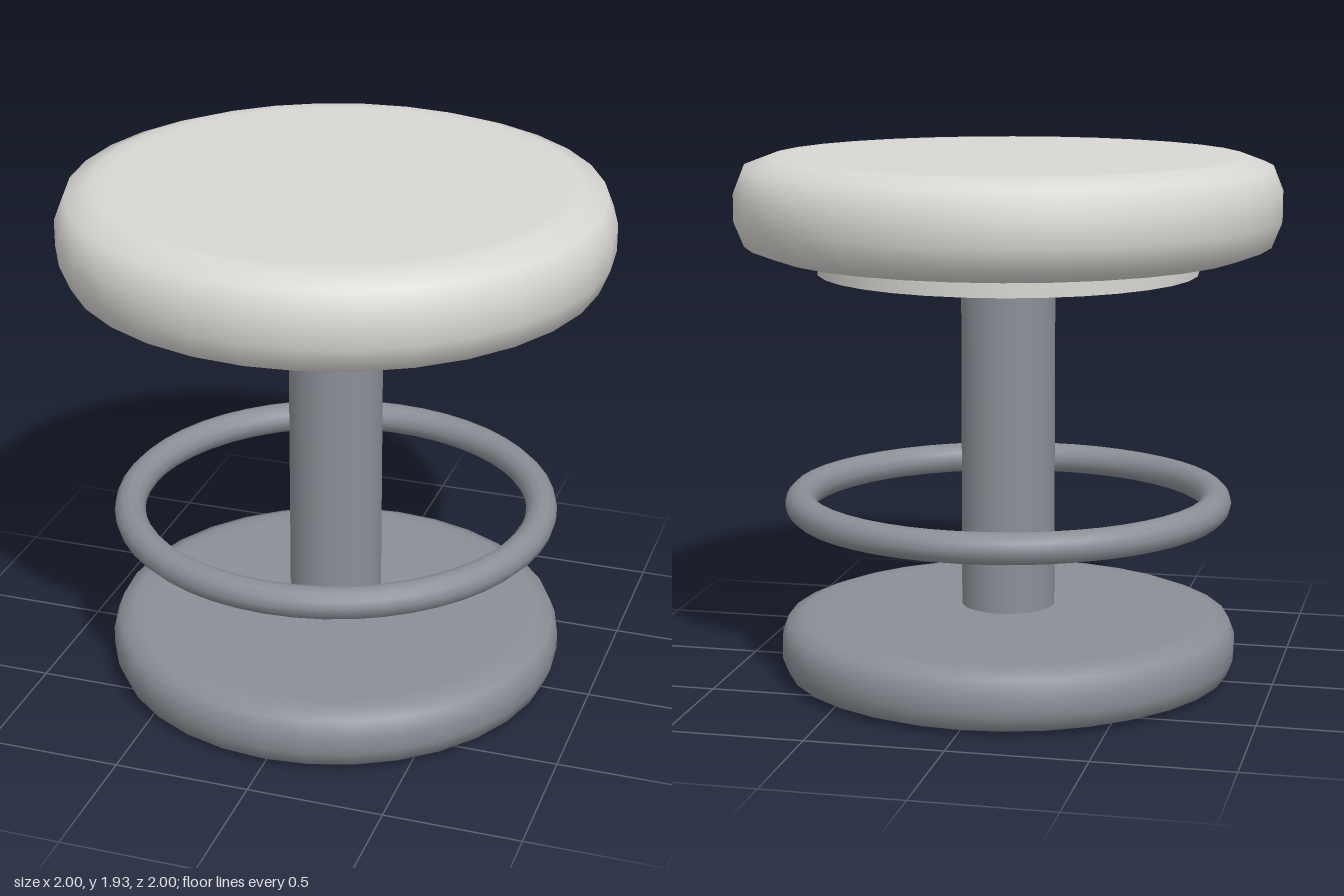
import * as THREE from 'three';

const SIDES = 32;
const padding = new THREE.MeshStandardMaterial({ color: 0xd9d7d3 });
const metal = new THREE.MeshStandardMaterial({ color: 0x8b8f96 });

// Round cushion-like disc: flat faces joined by a softened rim
function softDisc(radius, bottom, top, bevelR, bevelY) {
  const flat = radius - bevelR;
  const rim = [
    [0, 0],
    [flat - 0.06, 0],
    [flat, 0],
    [radius - bevelR * 0.28, bevelY * 0.28],
    [radius, bevelY],
  ];
  const lower = rim.map(([r, h]) => new THREE.Vector2(r, bottom + h));
  const upper = rim.map(([r, h]) => new THREE.Vector2(r, top - h)).reverse();
  return new THREE.LatheGeometry([...lower, ...upper], SIDES);
}

function cylinder(radius, bottom, top) {
  return new THREE.CylinderGeometry(radius, radius, top - bottom, SIDES)
    .translate(0, (top + bottom) / 2, 0);
}

export function createModel() {
  const stool = new THREE.Group();
  stool.name = 'stool';

  const add = (name, geometry, material) => {
    const mesh = new THREE.Mesh(geometry, material);
    mesh.name = name;
    stool.add(mesh);
  };

  // Seat and the plate beneath it
  add('seat', softDisc(1, 1.585, 1.935, 0.13, 0.125), padding);
  add('seatPlate', cylinder(0.7, 1.51, 1.59), padding);

  // Central column, ending just above the base
  add('column', cylinder(0.173, 0.257, 1.515), metal);

  // Foot ring
  const ring = new THREE.TorusGeometry(0.772, 0.058, 12, 48);
  ring.rotateX(Math.PI / 2).translate(0, 0.655, 0);
  add('footRing', ring, metal);

  // Floor base
  add('base', softDisc(0.85, 0, 0.225, 0.08, 0.08), metal);

  return stool;
}
